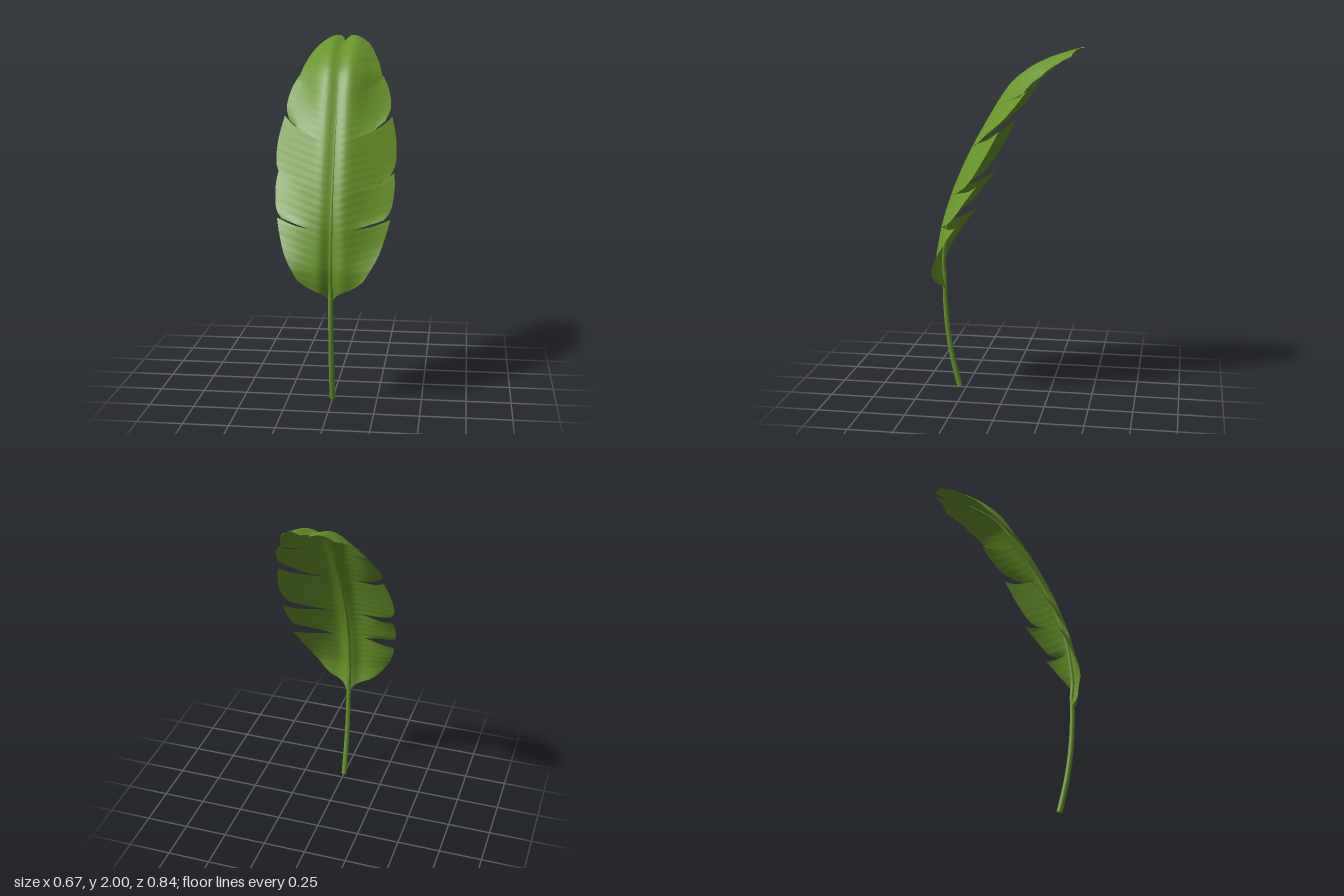
import * as THREE from 'three';
import { mergeGeometries, mergeVertices } from 'three/addons/utils/BufferGeometryUtils.js';

const { lerp, smoothstep } = THREE.MathUtils;
const spline = (points) => new THREE.SplineCurve(points.map(([a, b]) => new THREE.Vector2(a, b)));

// Side profile of the leaf's front surface as (y, z), looked up by height
const profile = spline([
  [0.5, 0.385], [0.6, 0.4], [0.66, 0.412], [0.72, 0.419], [0.8, 0.416], [1, 0.377], [1.2, 0.312],
  [1.4, 0.224], [1.6, 0.115], [1.79, -0.005], [1.88, -0.1], [1.94, -0.2], [1.98, -0.31], [2.005, -0.405],
]).getPoints(280);

function spine(y) {
  let i = 1;
  while (i < profile.length - 1 && profile[i].x < y) i++;
  const a = profile[i - 1], b = profile[i];
  const slope = (b.y - a.y) / (b.x - a.x);
  return { z: a.y + slope * (y - a.x), stretch: Math.min(Math.hypot(1, slope), 3) };
}

// Depth of the blade: groove at the midrib, deepest at the base, and sides arching backwards
function bladeZ(x, y, tilt) {
  const { z, stretch } = spine(y);
  const t = Math.max(0, x - 0.04);
  const k = lerp(0.95, tilt, smoothstep(x, 0.03, 0.2));
  const arch = 0.54 * t * t / (t + 0.05) * k;
  const depth = 0.016 + 0.02 * (1 - smoothstep(y, 0.7, 1.1)) + 0.008 * smoothstep(y, 1.8, 1.97);
  const groove = depth * Math.exp(-((x / 0.05) ** 2));
  const ripple = 0.0004 * Math.sin((y - 0.25 * x) * 150) * Math.min(1, x / 0.05);
  return z - (arch + groove) * stretch + ripple;
}

// Outer edge of each lobe from bottom to top, with its backward tilt at both ends
const lobes = [
  { tilt: [0.12, 1], edge: [[0.18, 0.715], [0.25, 0.83], [0.285, 0.92], [0.315, 1.025]] },
  { tilt: [0.55, 1.2], edge: [[0.28, 1.035], [0.318, 1.085], [0.332, 1.19], [0.325, 1.265]] },
  { tilt: [0.78, 1], edge: [[0.3, 1.25], [0.333, 1.32], [0.332, 1.44], [0.305, 1.565]] },
  { tilt: [0.65, 1.4], edge: [[0.27, 1.55], [0.295, 1.62], [0.278, 1.71], [0.242, 1.78]] },
  { tilt: [1.3, 1.35], edge: [[0.243, 1.765], [0.208, 1.86], [0.157, 1.94], [0.1, 1.985]] },
];

// Slits: height where the vein leaves the midrib, and the point where the blade splits
const slits = [
  { rib: 0.97, root: [0.11, 0.987] },
  { rib: 1.15, root: [0.2, 1.205] },
  { rib: 1.42, root: [0.2, 1.497] },
  { rib: 1.65, root: [0.2, 1.735] },
];
const baseOutline = [[0, 0.575], [0.03, 0.62], [0.08, 0.65], [0.13, 0.675]];
const tipOutline = [[0, 1.97], [0.013, 1.986], [0.03, 1.998], [0.06, 2]];

// Vein from the midrib through a slit's root to a lobe's corner
const vein = ({ rib, root: [x, y] }, corner, sag) => [
  [0, rib], [x / 2, (rib + y) / 2], [x, y], [(x + corner[0]) / 2, (y + corner[1]) / 2 - sag], corner,
];

// One lobe as a grid blended from its border curves
function lobeGeometry({ edge, tilt }, n, side) {
  const first = edge[0], last = edge[edge.length - 1];
  const low = spline(n > 0 ? vein(slits[n - 1], first, 0) : [...baseOutline, first]);
  const up = spline(n < slits.length ? vein(slits[n], last, 0.009) : [...tipOutline, last]);
  const outer = spline(edge);
  const nu = 24, nv = 36, pos = [], index = [];
  for (let j = 0; j <= nv; j++) {
    for (let i = 0; i <= nu; i++) {
      const u = i / nu, v = j / nv;
      const bulge = outer.getPoint(v).sub(low.getPoint(1).lerp(up.getPoint(1), v));
      const { x, y } = low.getPoint(u).lerp(up.getPoint(u), v).addScaledVector(bulge, u);
      pos.push(side * x, y, bladeZ(x, y, lerp(tilt[0], tilt[1], v)));
      if (i < nu && j < nv) {
        const a = j * (nu + 1) + i, b = a + 1, c = a + nu + 1, d = c + 1;
        if (side > 0) index.push(a, b, d, a, d, c);
        else index.push(a, d, b, a, c, d);
      }
    }
  }
  const g = new THREE.BufferGeometry();
  g.setAttribute('position', new THREE.Float32BufferAttribute(pos, 3));
  g.setIndex(index);
  return g;
}

// Tube whose radius follows a function of its length
function taperedTube(curve, segments, radius) {
  const sides = 12;
  const g = new THREE.TubeGeometry(curve, segments, 1, sides);
  const p = g.attributes.position, v = new THREE.Vector3();
  for (let i = 0; i < p.count; i++) {
    const t = Math.floor(i / (sides + 1)) / segments, c = curve.getPointAt(t);
    v.fromBufferAttribute(p, i).sub(c).multiplyScalar(radius(t)).add(c);
    p.setXYZ(i, v.x, v.y, v.z);
  }
  return g;
}

export function createModel() {
  const model = new THREE.Group();
  model.name = 'leaf';
  const green = new THREE.MeshStandardMaterial({ color: 0x68942a, side: THREE.DoubleSide });
  green.name = 'leafGreen';
  const add = (geometry, name) => {
    const mesh = new THREE.Mesh(geometry, green);
    mesh.name = name;
    model.add(mesh);
    return mesh;
  };

  // Two mirrored blade halves
  for (const side of [1, -1]) {
    const half = mergeVertices(mergeGeometries(lobes.map((lobe, n) => lobeGeometry(lobe, n, side))), 0.001);
    half.computeVertexNormals();
    add(half, side > 0 ? 'leftBlade' : 'rightBlade');
  }

  // Stalk running on into the midrib, set into the back of the groove
  const path = [[0.003, 0.288], [0.1, 0.312], [0.2, 0.334], [0.35, 0.357], [0.5, 0.369], [0.6, 0.372]]
    .map(([y, z]) => new THREE.Vector3(0, y, z));
  for (let y = 0.68; y < 1.95; y += 0.04) {
    path.push(new THREE.Vector3(0, y, bladeZ(0, y, 1) - 0.006 * spine(y).stretch));
  }
  const stalk = new THREE.CatmullRomCurve3(path);
  const radius = (t) => (t < 0.25 ? lerp(0.0165, 0.014, t / 0.25) : lerp(0.014, 0.004, (t - 0.25) / 0.75));
  add(taperedTube(stalk, 120, radius), 'stalkAndMidrib');

  // Cut end of the stalk
  const cut = add(new THREE.CircleGeometry(radius(0), 12), 'stalkEnd');
  cut.position.copy(stalk.getPointAt(0));
  cut.lookAt(cut.position.clone().sub(stalk.getTangentAt(0)));

  return model;
}
